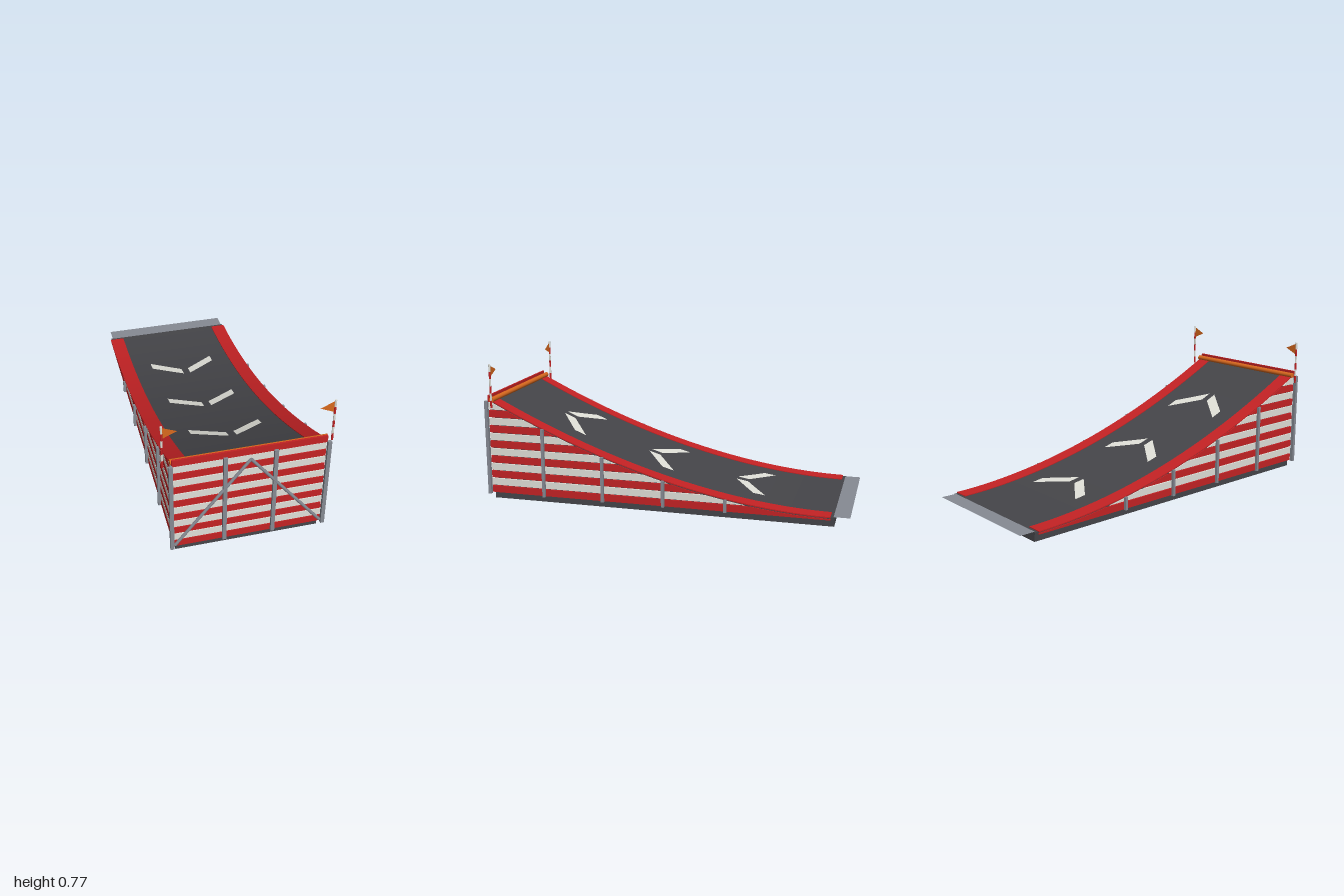
import * as THREE from 'three';

const material = (name, color, side = THREE.FrontSide) => {
  const m = new THREE.MeshStandardMaterial({ color, side });
  m.name = name;
  return m;
};

// Ramp height along z, and its inverse
const BACK = -0.92, FRONT = 0.97;
const rampY = z => 0.05 + 0.51 * Math.pow(Math.max(0, (z + 0.9) / 1.87), 1.85);
const rampZ = y => -0.9 + 1.87 * Math.pow(Math.max(0, (y - 0.05) / 0.51), 1 / 1.85);

export function createModel() {
  const group = new THREE.Group();
  group.name = 'stuntRamp';
  const dark = material('asphalt grey', 0x454549);
  const red = material('red', 0xc42224);
  const white = material('off white', 0xe0e0d8, THREE.DoubleSide);
  const steel = material('steel grey', 0x868a93, THREE.DoubleSide);
  const orange = material('orange', 0xd9691e, THREE.DoubleSide);

  const add = (name, geometry, mat, x = 0, y = 0, z = 0) => {
    const mesh = new THREE.Mesh(geometry, mat);
    mesh.name = name;
    mesh.position.set(x, y, z);
    group.add(mesh);
    return mesh;
  };
  const box = (name, mat, w, h, d, x, y, z) => add(name, new THREE.BoxGeometry(w, h, d), mat, x, y, z);

  // Extrudes a side outline of [z, y] points across x
  const sideExtrude = (name, mat, points, width, x) => {
    const shape = new THREE.Shape(points.map(p => new THREE.Vector2(p[0], p[1])));
    const geo = new THREE.ExtrudeGeometry(shape, { depth: width, bevelEnabled: false });
    geo.rotateY(-Math.PI / 2).translate(width / 2, 0, 0);
    return add(name, geo, mat, x);
  };
  const curve = (z0, z1, offset, n = 40) => Array.from({ length: n + 1 }, (_, i) => {
    const z = z0 + (z1 - z0) * i / n;
    return [z, rampY(z) + offset];
  });

  // Solid core with the base, and the curved deck
  sideExtrude('core', dark, [[BACK, 0], [FRONT, 0], ...curve(FRONT, BACK, -0.012)], 0.74, 0);
  sideExtrude('deck', dark, [...curve(BACK, FRONT, -0.012), ...curve(FRONT, BACK, 0)], 0.75, 0);

  // Red edge bands
  for (const s of [-1, 1]) {
    sideExtrude('edgeBand', red,
      [...curve(-0.9, FRONT, -0.002), ...curve(FRONT, -0.9, 0.004)], 0.083, s * 0.3405);
  }

  // Chevrons that follow the deck
  for (const start of [-0.53, -0.02, 0.49]) {
    for (const s of [-1, 1]) {
      const geo = new THREE.PlaneGeometry(0.17, 0.065, 6, 4).rotateX(-Math.PI / 2);
      geo.translate(s * 0.105, 0, start + 0.0325);
      const p = geo.attributes.position;
      for (let i = 0; i < p.count; i++) {
        const z = p.getZ(i) + 0.125 * (0.19 - Math.abs(p.getX(i))) / 0.17;
        p.setZ(i, z);
        p.setY(i, rampY(z) + 0.004);
      }
      geo.computeVertexNormals();
      add('chevronArm', geo, white);
    }
  }

  // Entry flap
  add('entryFlap', new THREE.PlaneGeometry(0.735, 0.085).rotateX(-Math.PI / 2), steel, 0, 0.051, -0.9575);

  // Red and white boards on the front and both sides
  for (let i = 0; i < 12; i++) {
    const y0 = 0.035 + i * 0.0432, y1 = y0 + 0.0385;
    const mat = i % 2 ? white : red;
    box('frontBoard', mat, 0.758, y1 - y0, 0.013, 0, (y0 + y1) / 2, 0.9765);
    const outline = [[FRONT, y0], [FRONT, y1]];
    for (let k = 0; k <= 6; k++) {
      const y = y1 + (y0 - y1) * k / 6;
      outline.push([rampZ(y + 0.008), y]);
    }
    // Below the ramp's lowest point the outline runs straight down
    for (const s of [-1, 1]) sideExtrude('sideBoard', mat, outline, 0.011, s * 0.3745);
  }

  // Lip board and the bumper pipe behind it
  box('lipBoard', red, 0.766, 0.038, 0.01, 0, 0.571, 0.98);
  add('lipPipe', new THREE.CylinderGeometry(0.014, 0.014, 0.776, 16).rotateZ(Math.PI / 2),
    orange, 0, 0.566, 0.961);

  for (const s of [-1, 1]) {
    // Front posts and diagonal brace
    box('cornerPost', steel, 0.02, 0.53, 0.017, s * 0.39, 0.295, 0.9915);
    box('frontPost', steel, 0.02, 0.525, 0.014, s * 0.125, 0.2975, 0.99);
    const low = new THREE.Vector3(s * 0.375, 0.05, 0.99), high = new THREE.Vector3(0, 0.528, 0.99);
    const brace = add('diagonalBrace', new THREE.CylinderGeometry(0.008, 0.008, low.distanceTo(high), 10), steel);
    brace.position.copy(low).lerp(high, 0.5);
    brace.quaternion.setFromUnitVectors(new THREE.Vector3(0, 1, 0), high.clone().sub(low).normalize());

    // Side posts
    for (const z of [0.67, 0.33, -0.01, -0.35]) {
      const h = rampY(z) - 0.032;
      box('sidePost', steel, 0.016, h, 0.016, s * 0.387, 0.032 + h / 2, z);
    }

    // Striped flag pole and pennant
    for (let i = 0; i < 6; i++) {
      add('flagPole', new THREE.CylinderGeometry(0.0055, 0.0055, 0.04, 10), i % 2 ? white : red,
        s * 0.42, 0.55 + i * 0.04, 0.947);
    }
    const pennant = new THREE.Shape([[0.415, 0.7], [0.415, 0.762], [0.345, 0.731]]
      .map(([x, y]) => new THREE.Vector2(s * x, y)));
    add('pennant', new THREE.ShapeGeometry(pennant), orange, 0, 0, 0.947);
  }
  return group;
}
